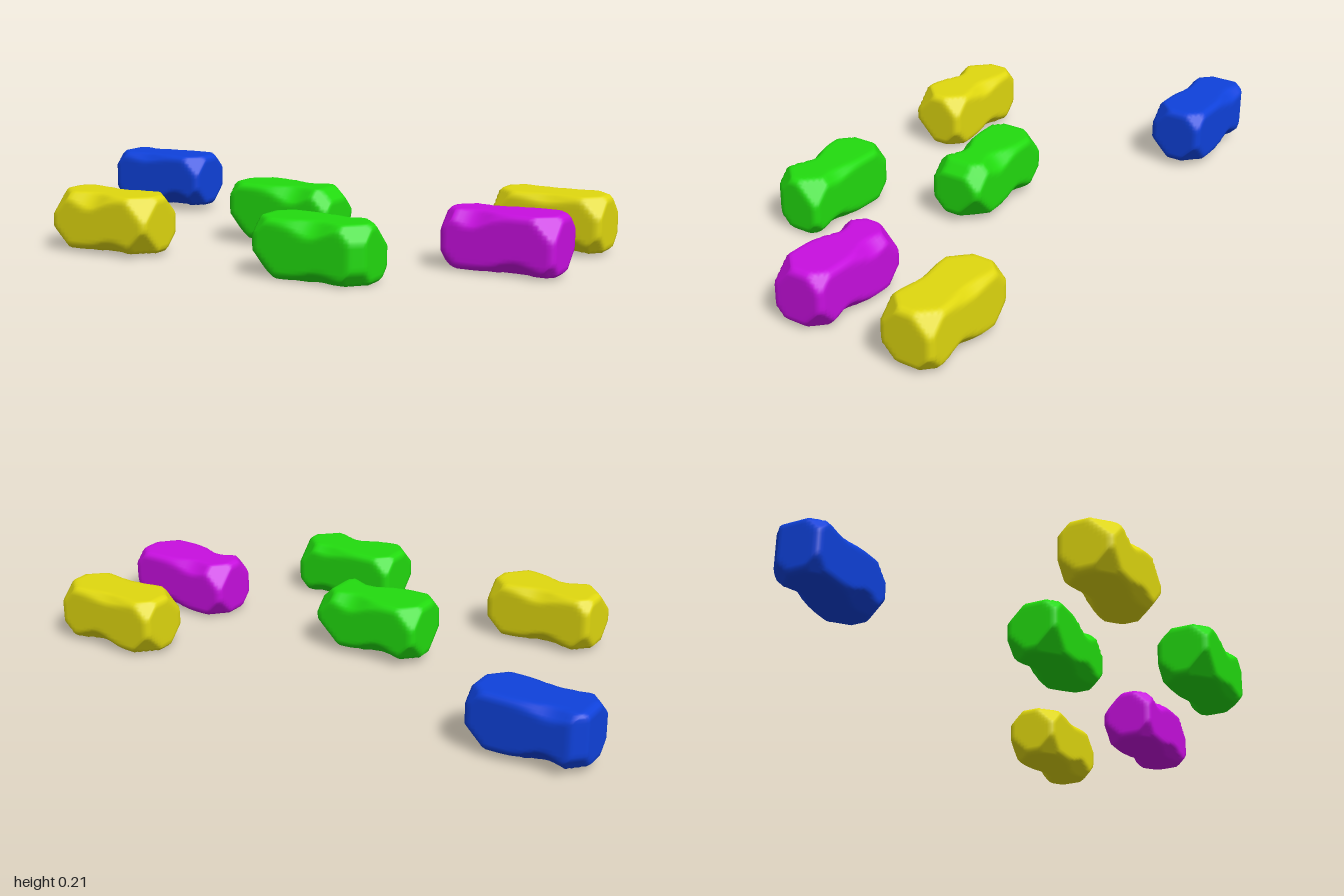
import * as THREE from 'three';
import { mergeVertices } from 'three/addons/utils/BufferGeometryUtils.js';

const SIZE = [0.39, 0.19, 0.19];
const HALF = new THREE.Vector3(...SIZE).multiplyScalar(0.5);

// Small seeded generator for the chip sizes
function seeded(seed) {
  let s = seed * 7919 + 13;
  return () => ((s = (s * 16807) % 2147483647) / 2147483647);
}

// Slice the point back to a plane that takes "leg" off the corner or edge in direction dir
function chip(p, dir, leg) {
  const reach = Math.abs(dir.x) * HALF.x + Math.abs(dir.y) * HALF.y + Math.abs(dir.z) * HALF.z;
  const d = p.dot(dir) - (reach - leg);
  if (d > 0) p.addScaledVector(dir, -d / dir.lengthSq());
}

// Box with softened edges, worn long edges and chipped corners
function stoneGeometry(seed, bigChip) {
  const rand = seeded(seed);
  for (let i = 0; i < 5; i++) rand();
  const edges = [], corners = [];
  for (const a of [-1, 1]) for (const b of [-1, 1]) {
    edges.push({ dir: new THREE.Vector3(0, a, b), leg: 0.014, dent: 0.015 + rand() * 0.025, at: (rand() - 0.5) * 0.2 });
    edges.push({ dir: new THREE.Vector3(a, 0, b), leg: 0.014 });
    edges.push({ dir: new THREE.Vector3(a, b, 0), leg: 0.014 });
    for (const c of [-1, 1]) corners.push({ dir: new THREE.Vector3(a, b, c), leg: 0.055 + rand() * 0.045 });
  }
  if (bigChip) edges.push({ dir: new THREE.Vector3(...bigChip), leg: 0.04 });

  let geo = new THREE.BoxGeometry(...SIZE, 26, 14, 14);
  const pos = geo.attributes.position, p = new THREE.Vector3();
  for (let i = 0; i < pos.count; i++) {
    p.fromBufferAttribute(pos, i);
    const x = p.x;
    for (const e of edges) {
      const wear = e.dent ? e.dent * Math.exp(-(((x - e.at) / 0.07) ** 2)) : 0;
      chip(p, e.dir, e.leg + wear);
    }
    for (const c of corners) chip(p, c.dir, c.leg);
    pos.setXYZ(i, p.x, p.y, p.z);
  }
  geo.deleteAttribute('uv');
  geo.deleteAttribute('normal');
  geo = mergeVertices(geo, 1e-5);
  geo.computeVertexNormals();
  return geo;
}

export function createModel() {
  const group = new THREE.Group();
  group.name = 'colouredBlocks';
  const paint = {};
  const colors = { blue: 0x0f42dc, yellow: 0xe0d80f, green: 0x22dc0f, magenta: 0xc80fe0 };
  for (const key in colors) paint[key] = new THREE.MeshStandardMaterial({ color: colors[key] });

  // name, colour, centre, direction of an extra large edge chip
  const blocks = [
    ['blueBlock', 'blue', [-0.805, 0.119, -0.405], [-1, 0, -1]],
    ['backYellowBlock', 'yellow', [0.8, 0.106, -0.405]],
    ['middleGreenBlock', 'green', [-0.005, 0.119, -0.005], [1, 1, 0]],
    ['magentaBlock', 'magenta', [0.8, 0.103, -0.005]],
    ['frontYellowBlock', 'yellow', [-0.455, 0.109, 0.398]],
    ['frontGreenBlock', 'green', [0.345, 0.098, 0.398], [1, 0, 1]],
  ];
  blocks.forEach(([name, color, centre, bigChip], i) => {
    const mesh = new THREE.Mesh(stoneGeometry(i + 1, bigChip), paint[color]);
    mesh.name = name;
    mesh.position.set(...centre);
    group.add(mesh);
  });
  return group;
}
